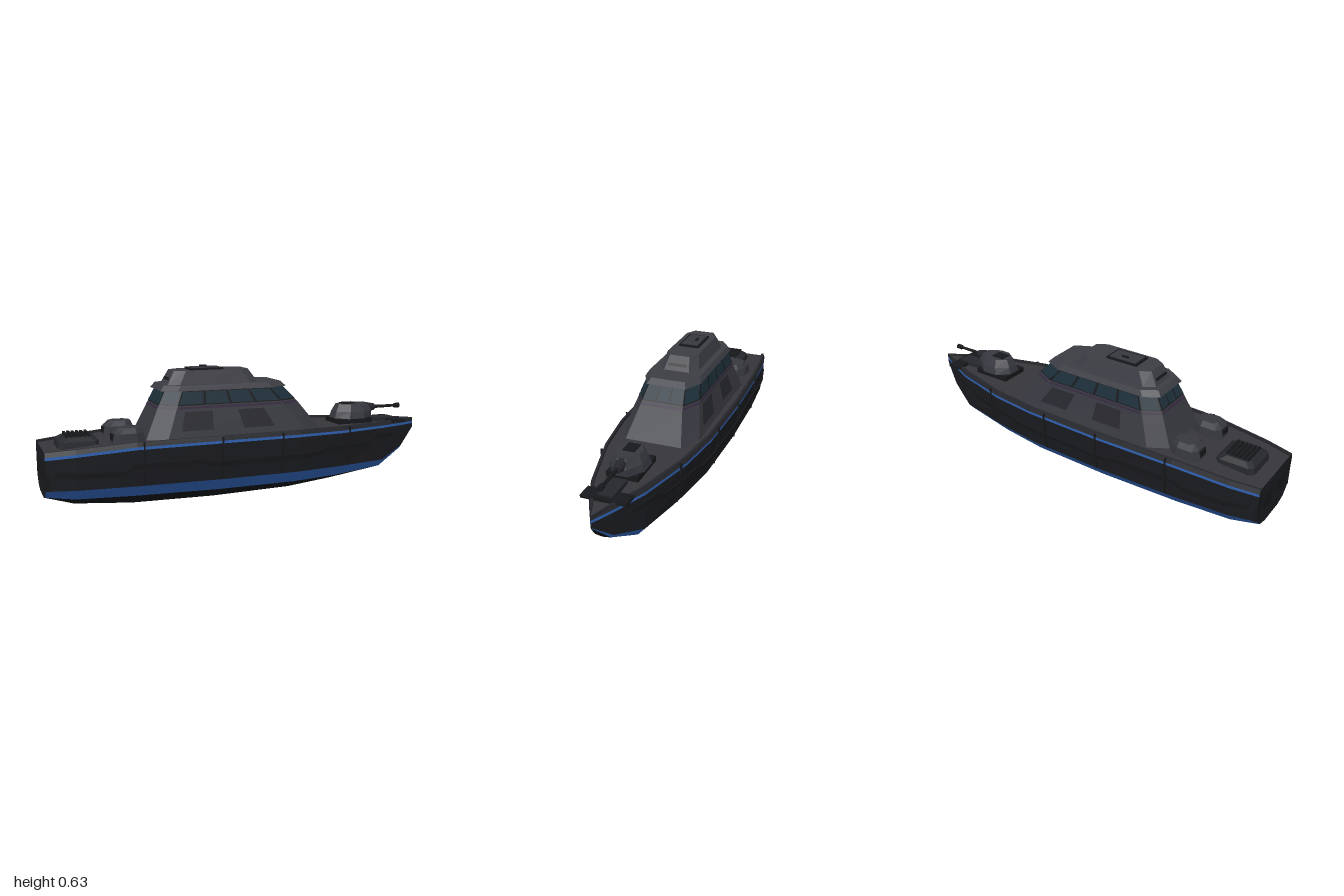
import * as THREE from 'three';

const mat = (color) => new THREE.MeshStandardMaterial({ color, flatShading: true, roughness: 0.8 });
const M = {
  hull: mat(0x1b1c20), keel: mat(0x121316), blue: mat(0x3062b4), deck: mat(0x35353a), cabin: mat(0x37383f),
  roof: mat(0x3c3d44), dark: mat(0x17181b), glass: mat(0x1d2f3a), purple: mat(0x35283f), trim: mat(0x26272c),
};

// Hull stations: x, keel y, keel half width, lower band (half, y), upper band (half, y), beam half, gunwale y
const stations = [
  [-1, 0.06, 0.07, 0.13, 0.075, 0.165, 0.11, 0.18, 0.285],
  [-0.87, 0.025, 0.09, 0.155, 0.06, 0.195, 0.11, 0.207, 0.295],
  [-0.6, 0.005, 0.1, 0.17, 0.055, 0.215, 0.11, 0.235, 0.315],
  [-0.2, 0, 0.1, 0.175, 0.05, 0.225, 0.11, 0.248, 0.32],
  [0.2, 0.01, 0.1, 0.165, 0.05, 0.215, 0.11, 0.238, 0.32],
  [0.45, 0.03, 0.08, 0.135, 0.055, 0.18, 0.11, 0.205, 0.318],
  [0.74, 0.066, 0.04, 0.085, 0.071, 0.12, 0.11, 0.127, 0.315],
  [0.9, 0.145, 0.01, 0.037, 0.15, 0.05, 0.165, 0.056, 0.31],
  [1, 0.25, 0, 0, 0.25, 0, 0.252, 0, 0.305],
];

// Half section from keel centre round the side to the deck centre, as [z, y]
function section([, ky, kb, aw, ay, bw, by, w, t]) {
  const inner = Math.max(0, w - 0.02);
  return [[0, ky], [kb, ky], [aw, ay], [bw, by], [bw * 0.35 + w * 0.65, (by + t - 0.032) / 2],
    [w, t - 0.034], [w, t - 0.021], [Math.max(0, w - 0.008), t], [inner, t], [inner, t - 0.012], [0, t - 0.012]];
}

// Hull half width at a given x and height
function hullHalf(x, y) {
  let i = 0;
  while (i < stations.length - 2 && stations[i + 1][0] < x) i++;
  const f = (x - stations[i][0]) / (stations[i + 1][0] - stations[i][0]);
  const s = section(stations[i].map((v, k) => v + (stations[i + 1][k] - v) * f));
  for (let k = 1; k < 5; k++) {
    if (y <= s[k + 1][1]) return s[k][0] + (s[k + 1][0] - s[k][0]) * (y - s[k][1]) / (s[k + 1][1] - s[k][1] || 1);
  }
  return s[5][0];
}

function quadMesh(name, quads, material) {
  const p = [];
  for (const [a, b, c, d] of quads) p.push(...a, ...b, ...c, ...a, ...c, ...d);
  const g = new THREE.BufferGeometry();
  g.setAttribute('position', new THREE.Float32BufferAttribute(p, 3));
  g.computeVertexNormals();
  const m = new THREE.Mesh(g, material);
  m.name = name;
  return m;
}

// Skin a stack of rings and cap both ends
function loft(name, rings, material) {
  const q = [], n = rings[0].length, top = rings[rings.length - 1];
  for (let r = 0; r < rings.length - 1; r++) {
    for (let i = 0; i < n; i++) {
      const j = (i + 1) % n;
      q.push([rings[r][i], rings[r][j], rings[r + 1][j], rings[r + 1][i]]);
    }
  }
  for (let i = 1; i < n - 1; i += 2) {
    const k = (i + 2) % n;
    q.push([top[0], top[i], top[i + 1], top[k]], [rings[0][0], rings[0][k], rings[0][i + 1], rings[0][i]]);
  }
  return quadMesh(name, q, material);
}

// Chamfered rectangle: front chamfer cf, back chamfer cb, sideways chamfer cz
function ring(y, x0, x1, h, cf, cb, cz, z = 0) {
  return [[x0 + cb, h], [x1 - cf, h], [x1, h - cz], [x1, cz - h], [x1 - cf, -h], [x0 + cb, -h], [x0, cz - h], [x0, h - cz]]
    .map(([px, pz]) => [px, y, pz + z]);
}

// A patch lying just off one side of a two-ring block
function patch(lo, hi, side, u0, u1, v0, v1, off) {
  const V = (a) => new THREE.Vector3(...a), j = (side + 1) % 8;
  const a = V(lo[side]), b = V(lo[j]), c = V(hi[j]), d = V(hi[side]);
  const nrm = b.clone().sub(a).cross(d.clone().sub(a)).normalize().multiplyScalar(off);
  return [[u0, v0], [u1, v0], [u1, v1], [u0, v1]].map(([u, v]) =>
    a.clone().lerp(b, u).lerp(d.clone().lerp(c, u), v).add(nrm).toArray());
}

function box(name, w, h, d, x, y, z, material) {
  const m = new THREE.Mesh(new THREE.BoxGeometry(w, h, d), material);
  m.position.set(x, y, z);
  m.name = name;
  return m;
}

function rod(name, r0, r1, x0, x1, y, material) {
  const m = new THREE.Mesh(new THREE.CylinderGeometry(r1, r0, x1 - x0, 10), material);
  m.rotation.z = -Math.PI / 2;
  m.position.set((x0 + x1) / 2, y, 0);
  m.name = name;
  return m;
}

// Raised strip following the hull side
function hullStrip(name, path, half, material, s) {
  const pts = [];
  for (let i = 0; i < path.length - 1; i++) {
    const n = Math.ceil(Math.abs(path[i + 1][0] - path[i][0]) / 0.08);
    for (let k = 0; k < n; k++) pts.push(path[i].map((v, a) => v + (path[i + 1][a] - v) * k / n));
  }
  pts.push(path[path.length - 1]);
  return loft(name, pts.map(([x, y]) => {
    const zt = hullHalf(x, y + half), zb = hullHalf(x, y - half);
    const r = [[x, y + half, s * (zt - 0.006)], [x, y + half, s * (zt + 0.007)],
      [x, y - half, s * (zb + 0.007)], [x, y - half, s * (zb - 0.006)]];
    return s > 0 ? r : r.reverse();
  }), material);
}

function buildHull() {
  const g = new THREE.Group();
  g.name = 'hull';
  const names = ['bottom', 'bilge', 'waterlineBand', 'lowerSide', 'upperSide', 'sheerStripe', 'gunwaleOuter',
    'gunwaleTop', 'bulwarkInner', 'deck'];
  const mats = [M.keel, M.keel, M.blue, M.hull, M.hull, M.blue, M.trim, M.trim, M.trim, M.deck];
  const secs = stations.map(section);
  const at = (i, l, s) => [stations[i][0], secs[i][l][1], s * secs[i][l][0]];
  names.forEach((name, l) => {
    const q = [];
    for (const s of [1, -1]) {
      for (let i = 0; i < secs.length - 1; i++) {
        const f = [at(i, l, s), at(i + 1, l, s), at(i + 1, l + 1, s), at(i, l + 1, s)];
        q.push(s > 0 ? f : f.reverse());
      }
    }
    g.add(quadMesh(name, q, mats[l]));
  });
  // Transom with two recessed-looking doors and corner fenders
  const t = [];
  for (const s of [1, -1]) {
    for (let l = 1; l < 7; l++) {
      const f = [at(0, l, 0), at(0, l, s), at(0, l + 1, s), at(0, l + 1, 0)];
      t.push(s > 0 ? f : f.reverse());
    }
    g.add(box('transomDoor', 0.008, 0.09, 0.09, -0.998, 0.19, s * 0.07, M.dark));
    g.add(box('sternFender', 0.02, 0.15, 0.035, -0.99, 0.19, s * 0.16, M.dark));
    // Stepped side rail and panel seams
    g.add(hullStrip('sideRail', [[-0.96, 0.19], [-0.86, 0.175], [-0.66, 0.175], [-0.62, 0.205], [-0.3, 0.205], [-0.25, 0.19],
      [0.1, 0.19], [0.3, 0.19], [0.36, 0.21], [0.62, 0.21], [0.68, 0.24], [0.82, 0.24]], 0.012, M.dark, s));
    for (const x of [-0.57, -0.2, 0.11, 0.5]) {
      for (let y = 0.115; y < 0.27; y += 0.05) {
        g.add(hullStrip('panelSeam', [[x - 0.003, y + 0.025], [x + 0.003, y + 0.025]], 0.025, M.dark, s));
      }
    }
  }
  g.add(quadMesh('transom', t, M.hull));
  return g;
}

function buildCabin() {
  const g = new THREE.Group();
  g.name = 'cabin';
  const base = ring(0.3, -0.54, 0.36, 0.195, 0.1, 0.09, 0.055);
  const sill = ring(0.44, -0.475, 0.25, 0.156, 0.1, 0.08, 0.05);
  const head = ring(0.528, -0.43, 0.165, 0.134, 0.09, 0.07, 0.045);
  g.add(loft('cabinWalls', [base, sill, head], M.cabin));
  // Window band, panes and accent strip
  const bands = [], panes = [], accents = [];
  for (let s = 0; s < 8; s++) {
    bands.push(patch(sill, head, s, 0, 1, 0.2, 0.97, 0.001));
    accents.push(patch(sill, head, s, 0.02, 0.98, 0.02, 0.13, 0.002));
    const n = s % 4 === 0 ? 4 : s === 2 || s === 6 ? 3 : 1;
    for (let k = 0; k < n; k++) panes.push(patch(sill, head, s, (k + 0.05) / n, (k + 0.95) / n, 0.25, 0.9, 0.003));
  }
  g.add(quadMesh('windowFrames', bands, M.dark), quadMesh('windows', panes, M.glass), quadMesh('accentStrip', accents, M.purple));
  // Wall panels
  const plates = [];
  for (const s of [0, 4]) for (const k of [0.08, 0.55]) plates.push(patch(base, sill, s, k, k + 0.24, 0.3, 0.92, 0.002));
  g.add(quadMesh('wallPanels', plates, M.trim));
  g.add(loft('roofBrim', [ring(0.524, -0.455, 0.185, 0.143, 0.09, 0.07, 0.045),
    ring(0.549, -0.435, 0.16, 0.13, 0.09, 0.07, 0.045)], M.roof));
  const lo = ring(0.549, -0.41, 0.045, 0.1, 0.05, 0.05, 0.035), hi = ring(0.612, -0.375, 0, 0.08, 0.05, 0.05, 0.03);
  g.add(loft('upperHouse', [lo, hi], M.roof));
  g.add(quadMesh('upperSlits', [2, 6].map((s) => patch(lo, hi, s, 0.1, 0.9, 0.28, 0.48, 0.003)), M.dark));
  g.add(box('roofHatchRim', 0.165, 0.01, 0.104, -0.21, 0.616, 0, M.dark));
  g.add(box('roofHatch', 0.145, 0.012, 0.085, -0.21, 0.617, 0, M.cabin));
  g.add(box('hatchHandle', 0.035, 0.008, 0.008, -0.21, 0.627, -0.015, M.dark));
  return g;
}

function buildTurret() {
  const g = new THREE.Group();
  g.name = 'deckGun';
  g.add(box('gunBase', 0.2, 0.026, 0.15, 0.6, 0.318, 0, M.dark));
  g.add(loft('gunHouse', [ring(0.33, 0.5, 0.715, 0.083, 0.07, 0.06, 0.05), ring(0.365, 0.51, 0.72, 0.074, 0.07, 0.06, 0.045),
    ring(0.403, 0.53, 0.695, 0.055, 0.06, 0.05, 0.035)], M.cabin));
  g.add(box('gunHatch', 0.07, 0.006, 0.055, 0.59, 0.405, 0, M.dark));
  g.add(rod('mantlet', 0.03, 0.018, 0.69, 0.75, 0.377, M.trim), rod('barrel', 0.009, 0.007, 0.74, 0.89, 0.377, M.dark),
    rod('muzzle', 0.013, 0.013, 0.88, 0.908, 0.377, M.dark));
  return g;
}

export function createModel() {
  const model = new THREE.Group();
  model.name = 'patrolBoat';
  model.add(buildHull(), buildCabin(), buildTurret());
  // Bow fittings
  model.add(box('bowCrossbar', 0.075, 0.014, 0.21, 0.845, 0.307, 0, M.dark));
  model.add(box('bowHatch', 0.14, 0.02, 0.07, 0.79, 0.312, 0, M.trim));
  // Twin exhaust housings behind the cabin
  for (const s of [1, -1]) {
    model.add(loft('exhaustHousing', [ring(0.295, -0.695, -0.54, 0.062, 0.04, 0.02, 0.03, s * 0.112),
      ring(0.345, -0.685, -0.55, 0.058, 0.04, 0.02, 0.03, s * 0.112),
      ring(0.368, -0.66, -0.56, 0.04, 0.03, 0.02, 0.02, s * 0.112)], M.cabin));
    model.add(box('exhaustOutlet', 0.012, 0.03, 0.05, -0.688, 0.325, s * 0.112, M.dark));
  }
  // Engine cover with louvres
  model.add(loft('engineCover', [ring(0.275, -0.93, -0.74, 0.1, 0.02, 0.02, 0.02),
    ring(0.31, -0.925, -0.745, 0.095, 0.02, 0.02, 0.02), ring(0.327, -0.9, -0.77, 0.072, 0.02, 0.02, 0.02)], M.trim));
  for (let i = 0; i < 6; i++) {
    model.add(box('louvre', 0.012, 0.016, 0.125, -0.885 + i * 0.02, 0.33, 0, M.dark));
  }
  return model;
}
